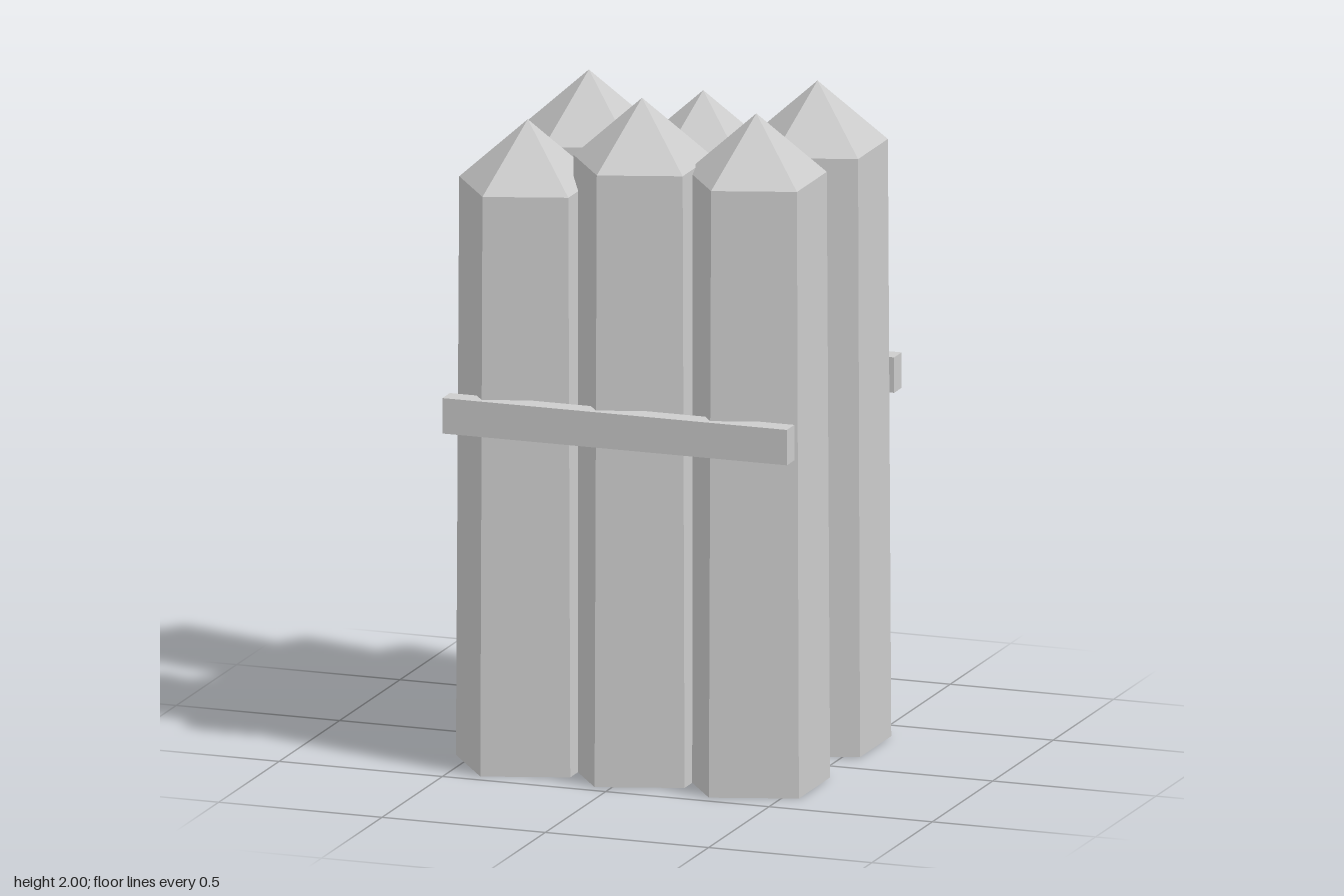
import * as THREE from 'three';

export function createModel() {
  const group = new THREE.Group();
  const wood = new THREE.MeshStandardMaterial({ color: 0xcccccc, flatShading: true });
  wood.name = 'pale grey';

  // Five-sided tapered post with a pointed top, one corner facing -x
  function post(name, x, z, tip) {
    const profile = [[0, 0], [0.22, 0], [0.21, tip - 0.188], [0, tip]]
      .map(([r, y]) => new THREE.Vector2(r, y));
    const mesh = new THREE.Mesh(new THREE.LatheGeometry(profile, 5, -Math.PI / 2), wood);
    mesh.name = name;
    mesh.position.set(x, 0, z);
    group.add(mesh);
  }

  // Two rows of three posts, each with its own height
  const xs = [-0.33, 0.02, 0.37];
  const rows = [
    { name: 'front', side: 1, tips: [1.905, 2.0, 1.985] },
    { name: 'back', side: -1, tips: [1.93, 1.9, 1.96] },
  ];
  for (const { name, side, tips } of rows) {
    tips.forEach((tip, i) => post(`${name}Post${i + 1}`, xs[i], side * 0.253, tip));

    // Crossbar along the outside of the row
    const bar = new THREE.Mesh(new THREE.BoxGeometry(1.055, 0.105, 0.062), wood);
    bar.name = `${name}Crossbar`;
    bar.position.set(0.018, 1.063, side * 0.444);
    group.add(bar);
  }
  return group;
}
